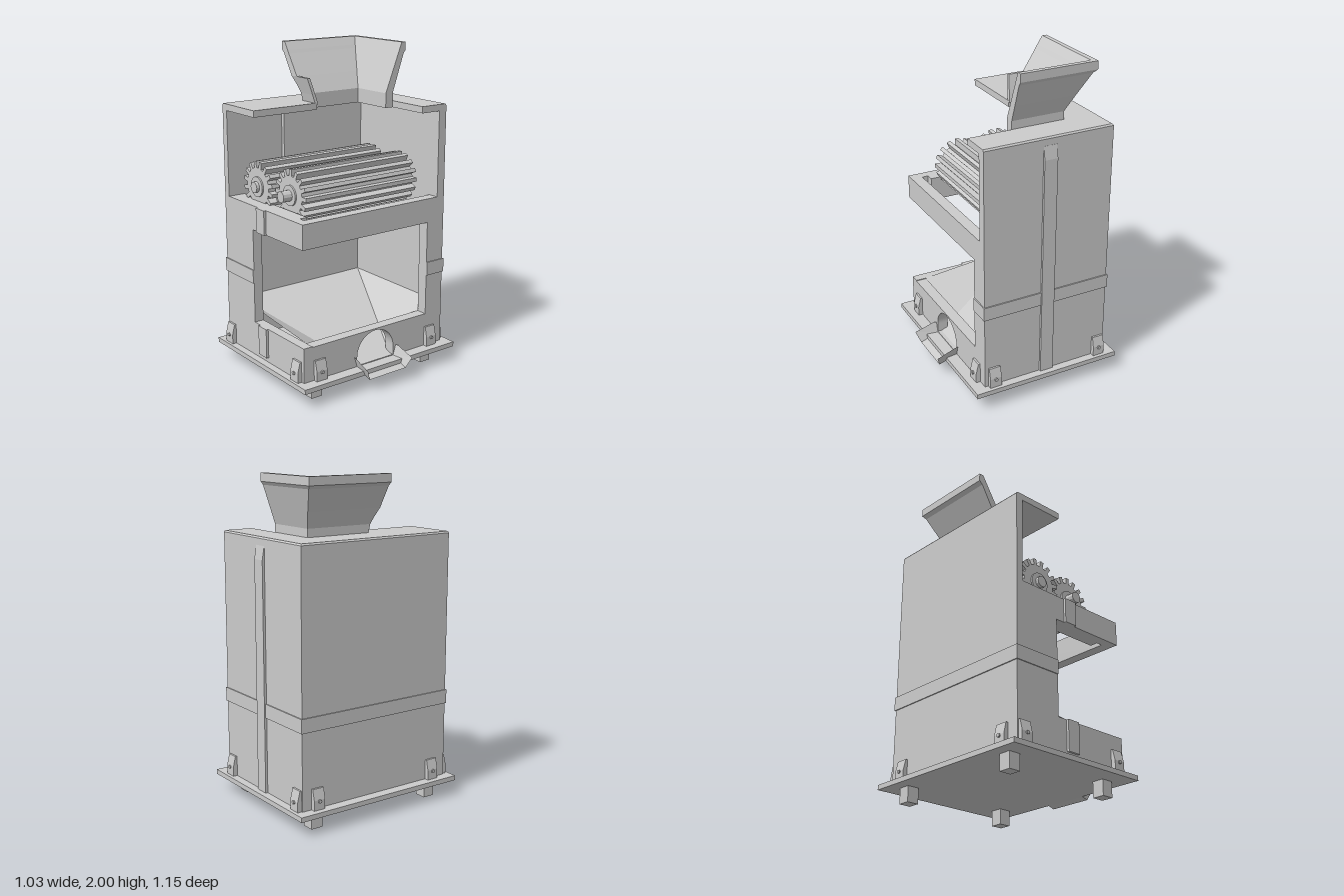
import * as THREE from 'three';

const mat = new THREE.MeshStandardMaterial({ color: 0xcccccc, flatShading: true });
const thin = new THREE.MeshStandardMaterial({ color: 0xcccccc, flatShading: true, side: THREE.DoubleSide });

export function createModel() {
  const model = new THREE.Group();

  const add = (name, geo, material = mat) => {
    const mesh = new THREE.Mesh(geo, material);
    mesh.name = name;
    model.add(mesh);
    return mesh;
  };
  // Box given by its limits on each axis
  const box = (name, x0, x1, y0, y1, z0, z1) =>
    add(name, new THREE.BoxGeometry(x1 - x0, y1 - y0, z1 - z0))
      .position.set((x0 + x1) / 2, (y0 + y1) / 2, (z0 + z1) / 2);
  const shapeOf = pts => new THREE.Shape(pts.map(p => new THREE.Vector2(...p)));
  const extrude = (shape, depth) =>
    new THREE.ExtrudeGeometry(shape, { depth, bevelEnabled: false, curveSegments: 24 });

  // Solid through horizontal outlines, listed bottom to top as [y, [[x, z], ...]]
  const loft = levels => {
    const pos = [], index = [];
    const n = levels[0][1].length;
    for (const [y, ring] of levels) {
      const flat = ring.map(([x, z]) => new THREE.Vector2(x, -z));
      const ordered = THREE.ShapeUtils.area(flat) < 0 ? [...ring].reverse() : ring;
      for (const [x, z] of ordered) pos.push(x, y, z);
    }
    for (let l = 0; l < levels.length - 1; l++) for (let i = 0; i < n; i++) {
      const a = l * n + i, b = l * n + (i + 1) % n;
      index.push(a, b, b + n, a, b + n, a + n);
    }
    const top = (levels.length - 1) * n;
    const cap = start => {
      const pts = [];
      for (let i = start; i < start + n; i++) pts.push(new THREE.Vector2(pos[i * 3], -pos[i * 3 + 2]));
      return THREE.ShapeUtils.triangulateShape(pts, []);
    };
    cap(0).forEach(([a, b, c]) => index.push(a, c, b));
    cap(top).forEach(([a, b, c]) => index.push(top + a, top + b, top + c));
    const g = new THREE.BufferGeometry();
    g.setAttribute('position', new THREE.Float32BufferAttribute(pos, 3));
    g.setIndex(index);
    const out = g.toNonIndexed();
    out.computeVertexNormals();
    return out;
  };
  // Thin sheet with three or more corners
  const sheet = (name, ...corners) => {
    const g = new THREE.BufferGeometry();
    const tri = [];
    for (let i = 1; i < corners.length - 1; i++) tri.push(...corners[0], ...corners[i], ...corners[i + 1]);
    g.setAttribute('position', new THREE.Float32BufferAttribute(tri, 3));
    g.computeVertexNormals();
    add(name, g, thin);
  };

  // Base plate and feet
  box('basePlate', -0.52, 0.445, 0.095, 0.125, -0.58, 0.575);
  for (const x of [-0.408, 0.31]) for (const z of [-0.425, 0.423])
    box('foot', x - 0.038, x + 0.038, 0, 0.095, z - 0.038, z + 0.038);

  // Housing: full left and back walls
  box('leftWall', -0.455, -0.41, 0.125, 1.61, -0.53, 0.53);
  box('backWall', -0.41, 0.37, 0.125, 1.61, -0.53, -0.475);
  box('innerLiner', -0.41, -0.385, 1.0, 1.61, -0.475, 0.135);

  // Front and right walls, cut open at their shared corner
  add('frontWall', extrude(shapeOf([[-0.41, 0.125], [0.37, 0.125], [0.37, 0.34], [-0.145, 0.34],
    [-0.145, 0.93], [0.37, 0.93], [0.37, 1.08], [-0.41, 1.08]]), 0.06)).position.z = 0.47;
  const side = shapeOf([[-0.47, 0.125], [0.475, 0.125], [0.475, 1.08], [-0.47, 1.08],
    [-0.47, 0.93], [0.4, 0.93], [0.4, 0.335], [-0.47, 0.335]]);
  const outlet = new THREE.Path();
  outlet.moveTo(-0.14, 0.13);
  outlet.lineTo(0.14, 0.13);
  outlet.lineTo(0.14, 0.185);
  outlet.absarc(0, 0.185, 0.14, 0, Math.PI, false);
  outlet.lineTo(-0.14, 0.13);
  side.holes.push(outlet);
  add('rightWall', extrude(side, 0.07).rotateY(Math.PI / 2)).position.x = 0.3;
  box('bearingShelf', -0.41, 0.26, 0.93, 1.08, 0.42, 0.47);

  // Lid, cut away over the rollers
  const lid = [[-0.455, 0.53], [-0.11, 0.53], [-0.11, 0.08], [-0.175, 0.08], [-0.175, -0.285],
    [0.097, -0.285], [0.097, -0.34], [0.37, -0.34], [0.37, -0.53], [-0.455, -0.53]];
  const lidTop = lid.map(([x, z]) => [Math.max(x, -0.447), Math.max(z, -0.522)]);
  add('lid', loft([[1.61, lid], [1.64, lid], [1.65, lidTop]]));

  // Hopper: left and back walls, L-shaped in section [y, xOut, xIn, zOut, zIn, zEnd]
  add('hopper', loft([
    [1.61, -0.24, -0.175, -0.34, -0.285, 0.08],
    [1.7, -0.24, -0.175, -0.34, -0.285, 0.1],
    [1.8, -0.295, -0.238, -0.375, -0.325, 0.135],
    [1.93, -0.372, -0.321, -0.42, -0.377, 0.135],
    [1.95, -0.395, -0.333, -0.435, -0.385, 0.135],
    [2, -0.395, -0.365, -0.435, -0.405, 0.135],
  ].map(([y, xo, xi, zo, zi, ze]) =>
    [y, [[xo, zo], [0.097, zo], [0.097, zi], [xi, zi], [xi, ze], [xo, ze]]])));
  add('hopperFrontRemnant', loft([
    [1.64, -0.24, -0.11, 0.07], [1.7, -0.24, -0.118, 0.085], [1.8, -0.285, -0.13, 0.115],
  ].map(([y, x0, x1, z]) => [y, [[x0, z], [x1, z], [x1, z + 0.02], [x0, z + 0.02]]])));

  // Toothed rollers
  const TEETH = 16;
  const gearShape = phase => {
    const pts = [];
    for (let i = 0; i < TEETH; i++)
      for (const [t, r] of [[-0.27, 0.116], [-0.2, 0.155], [0.2, 0.155], [0.27, 0.116]]) {
        const a = (i + t + phase) / TEETH * Math.PI * 2;
        pts.push([r * Math.cos(a), r * Math.sin(a)]);
      }
    return shapeOf(pts);
  };
  const rod = (name, x, r, z0, z1, sides) =>
    add(name, new THREE.CylinderGeometry(r, r, z1 - z0, sides).rotateX(Math.PI / 2))
      .position.set(x, 1.17, (z0 + z1) / 2);
  for (const [x, phase, front] of [[-0.205, 0.5, 0.45], [0.08, 0, 0.41]]) {
    add('roller', extrude(gearShape(phase), front + 0.425)).position.set(x, 1.17, -0.425);
    rod('rollerHub', x, 0.062, -0.44, front + 0.01, 24);
    rod('rollerShaft', x, 0.034, -0.475, 0.48, 12);
  }

  // Collecting funnel, sloping down to the outlet
  const backLeft = [-0.41, 0.41, -0.475], frontLeft = [-0.41, 0.41, 0.47];
  const outBack = [0.33, 0.135, -0.14], outFront = [0.33, 0.135, 0.14];
  sheet('funnelLeft', backLeft, frontLeft, outFront, outBack);
  sheet('funnelFront', frontLeft, [0.3, 0.34, 0.47], outFront);
  sheet('funnelBack', backLeft, outBack, [0.3, 0.41, -0.475]);

  // Outlet chute with flared sides
  sheet('chuteFloor', outBack, outFront, [0.49, 0.083, 0.14], [0.49, 0.083, -0.14]);
  for (const s of [-1, 1])
    sheet('chuteSide', [0.365, 0.125, s * 0.14], [0.49, 0.083, s * 0.14],
      [0.515, 0.15, s * 0.17], [0.39, 0.19, s * 0.165], [0.365, 0.19, s * 0.16]);

  // Reinforcing straps
  add('backStrap', loft([[0.125, -0.545], [1.52, -0.545], [1.6, -0.531]].map(([y, z]) =>
    [y, [[-0.085, z], [0, z], [0, -0.53], [-0.085, -0.53]]])));
  box('frontStrapLower', -0.085, 0, 0.155, 0.34, 0.53, 0.545);
  box('frontStrapUpper', -0.085, 0, 0.93, 1.08, 0.53, 0.545);
  box('leftBand', -0.462, -0.455, 0.59, 0.675, -0.537, 0.536);
  box('backBand', -0.455, 0.377, 0.59, 0.675, -0.537, -0.53);
  box('rightBand', 0.37, 0.377, 0.59, 0.675, -0.53, -0.4);
  box('frontBand', -0.455, -0.145, 0.59, 0.675, 0.53, 0.536);

  // Bolted corner brackets on all four sides: [x, z, turn]
  const bracket = extrude(shapeOf([[0, 0.125], [0.028, 0.125], [0.028, 0.185], [0.012, 0.25], [0, 0.25]]), 0.075)
    .translate(0, 0, -0.0375);
  const bolt = new THREE.CylinderGeometry(0.011, 0.011, 0.012, 8).rotateZ(Math.PI / 2).translate(0.031, 0.178, 0);
  const places = [];
  for (const x of [-0.41, 0.31]) places.push([x, 0.53, -Math.PI / 2], [x, -0.53, Math.PI / 2]);
  for (const z of [-0.43, 0.42]) places.push([0.37, z, 0], [-0.455, z, Math.PI]);
  for (const [x, z, turn] of places)
    for (const [name, geo] of [['bracket', bracket], ['bracketBolt', bolt]]) {
      const mesh = add(name, geo);
      mesh.position.set(x, 0, z);
      mesh.rotation.y = turn;
    }

  return model;
}
